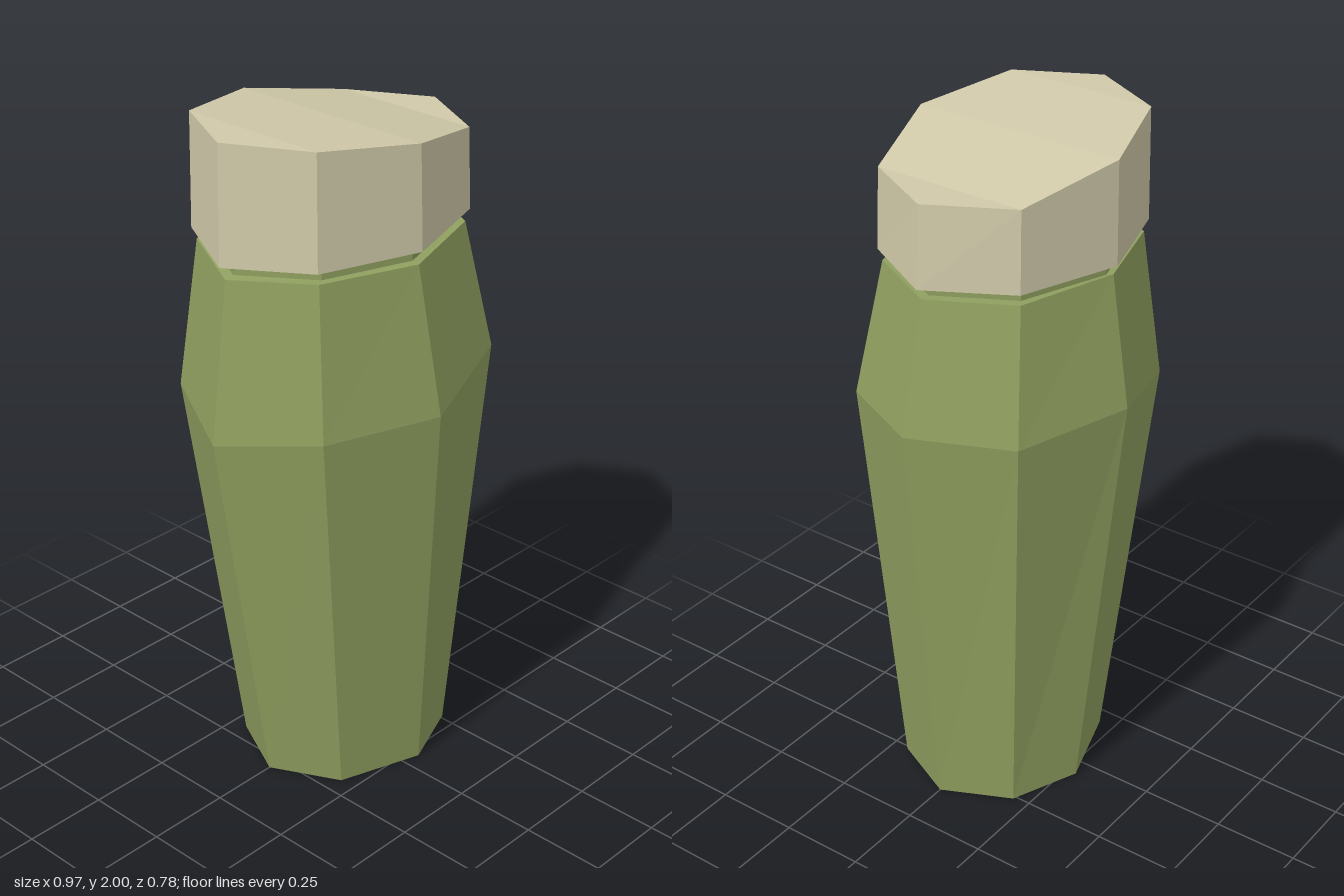
import * as THREE from 'three';

// Octagonal ring; corners run from +x through the front (+z), -x and back.
// xs, ys, zs hold the five corners from +x to -x; the back half mirrors them.
// backY optionally overrides the height of the rear middle corner.
function ring(xs, ys, zs, backY = ys[2]) {
  return [0, 1, 2, 3, 4, 3, 2, 1].map((i, k) =>
    new THREE.Vector3(xs[i], k === 6 ? backY : ys[i], k > 4 ? -zs[i] : zs[i]));
}

// Joins rings listed from bottom to top, with optional end faces.
function loft(name, rings, color, closeBottom, closeTop) {
  const pos = [];
  const quad = (a, b, c, d) => {
    for (const p of [a, b, c, a, c, d]) pos.push(p.x, p.y, p.z);
  };
  for (let r = 0; r < rings.length - 1; r++) {
    const lo = rings[r], hi = rings[r + 1];
    for (let k = 0; k < 8; k++) {
      const n = (k + 1) % 8;
      quad(lo[n], lo[k], hi[k], hi[n]);
    }
  }
  // End faces are strips running front to back
  const end = (p, up) => {
    for (let k = 0; k < 4; k++) {
      const a = p[k], b = p[(8 - k) % 8], c = p[7 - k], d = p[k + 1];
      if (up) quad(a, b, c, d);
      else quad(d, c, b, a);
    }
  };
  if (closeBottom) end(rings[0], false);
  if (closeTop) end(rings[rings.length - 1], true);
  const geo = new THREE.BufferGeometry();
  geo.setAttribute('position', new THREE.Float32BufferAttribute(pos, 3));
  geo.computeVertexNormals();
  const mesh = new THREE.Mesh(geo, new THREE.MeshStandardMaterial({ color, flatShading: true }));
  mesh.name = name;
  return mesh;
}

export function createModel() {
  const group = new THREE.Group();
  group.name = 'cappedLimb';
  const green = 0x8f9f5f, cream = 0xd0c9a9;

  const foot = ring([0.355, 0.26, 0.055, -0.195, -0.295], [0, 0, 0, 0, 0], [0, 0.2, 0.283, 0.2, 0]);
  const belly = ring([0.483, 0.342, -0.004, -0.345, -0.485],
    [1.275, 1.262, 1.2, 1.2, 1.155], [0, 0.275, 0.388, 0.275, 0], 1.27);
  const shoulder = ring([0.39, 0.268, -0.025, -0.31, -0.425],
    [1.645, 1.645, 1.633, 1.638, 1.62], [0, 0.228, 0.318, 0.228, 0], 1.645);
  const neckX = [0.36, 0.245, -0.025, -0.285, -0.395], neckZ = [0, 0.212, 0.295, 0.212, 0];
  const neckLow = ring(neckX, [1.645, 1.645, 1.637, 1.638, 1.625], neckZ);
  const neckHigh = ring(neckX, [1.68, 1.68, 1.672, 1.672, 1.664], neckZ);
  const rim = ring([0.41, 0.278, -0.025, -0.322, -0.445],
    [1.68, 1.68, 1.672, 1.672, 1.66], [0, 0.235, 0.33, 0.235, 0]);
  const crown = ring([0.395, 0.27, -0.03, -0.32, -0.44],
    [1.915, 1.915, 1.97, 2, 2], [0, 0.231, 0.323, 0.231, 0]);

  // Tapered body with a recessed neck and the underside of the cap
  group.add(loft('body', [foot, belly, shoulder], green, true, false));
  group.add(loft('neck', [shoulder, neckLow, neckHigh, rim], green, false, false));
  // Sloping cap
  group.add(loft('cap', [rim, crown], cream, false, true));
  return group;
}
